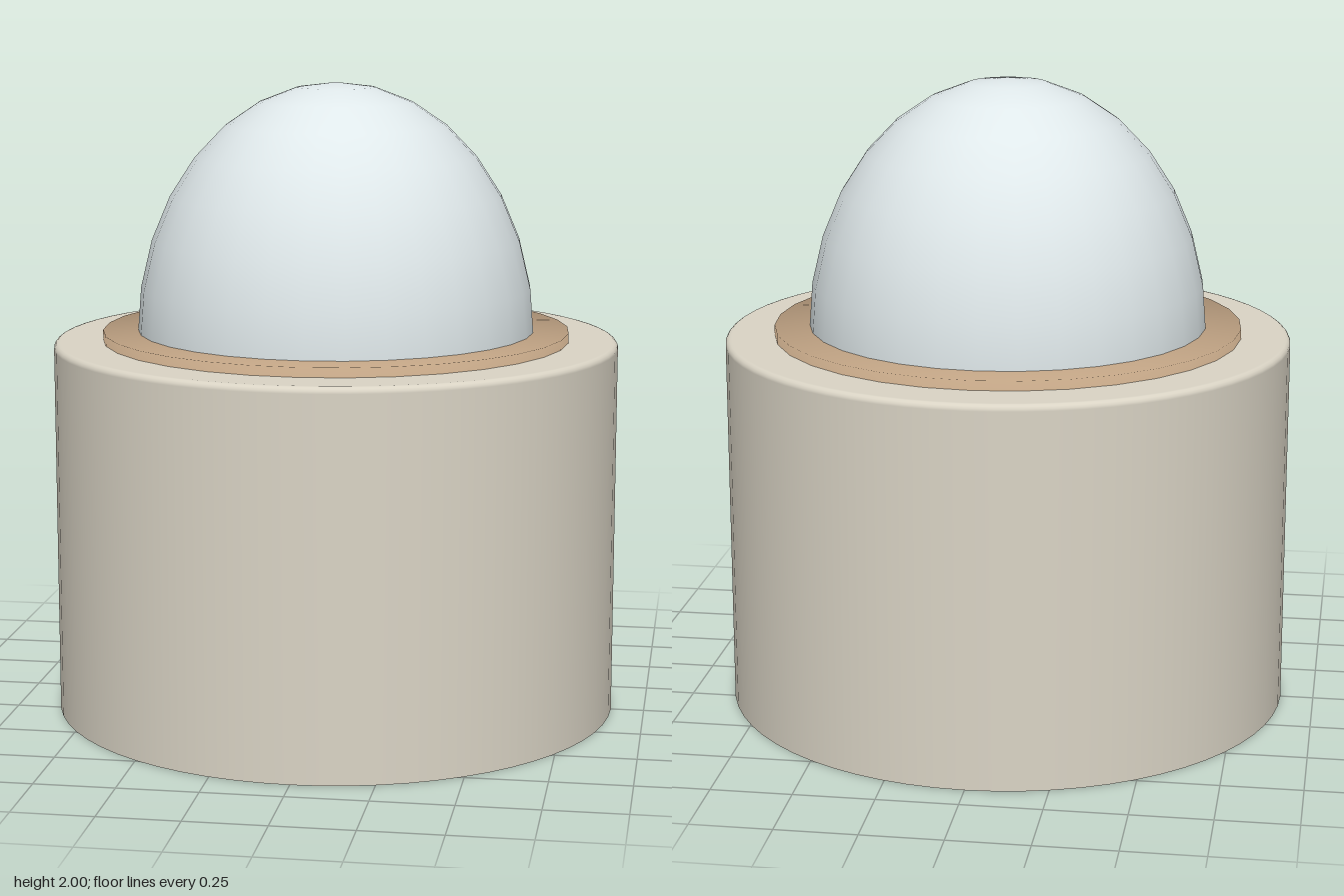
import * as THREE from 'three';

const material = (color) => new THREE.MeshStandardMaterial({ color });

// Revolve a profile of [radius, height] pairs, listed bottom to top
function turned(name, profile, sides, color) {
  const points = profile.map(([r, y]) => new THREE.Vector2(r, y));
  const mesh = new THREE.Mesh(new THREE.LatheGeometry(points, sides), material(color));
  mesh.name = name;
  return mesh;
}

export function createModel() {
  const group = new THREE.Group();
  group.name = 'domedCylinder';
  const baseColor = 0xdad4c5;
  const R = 0.895, H = 1.19, bevel = 0.02;

  // Base: straight wall, small rounded rim, flat top
  const rim = [];
  for (let i = 0; i <= 4; i++) {
    const a = (i / 4) * Math.PI / 2;
    rim.push([R - bevel + bevel * Math.cos(a), H - bevel + bevel * Math.sin(a)]);
  }
  group.add(turned('base', [[R, 0], ...rim, [0, H]], 64, baseColor));

  const bottom = new THREE.Mesh(new THREE.CircleGeometry(R, 64), material(baseColor));
  bottom.name = 'baseBottom';
  bottom.rotation.x = Math.PI / 2;
  group.add(bottom);

  // Collar: softly shaded disc seated in the base, standing just proud of it
  group.add(turned('collar', [[0.74, 0.6], [0.74, 1.22], [0, 1.22]], 32, 0xbfa283));

  // Dome: upper half of a stretched sphere
  const dome = new THREE.Mesh(
    new THREE.SphereGeometry(1, 32, 8, 0, Math.PI * 2, 0, Math.PI / 2),
    material(0xdfe8ea)
  );
  dome.name = 'dome';
  dome.scale.set(0.63, 0.8, 0.63);
  dome.position.y = 1.2;
  group.add(dome);

  return group;
}
